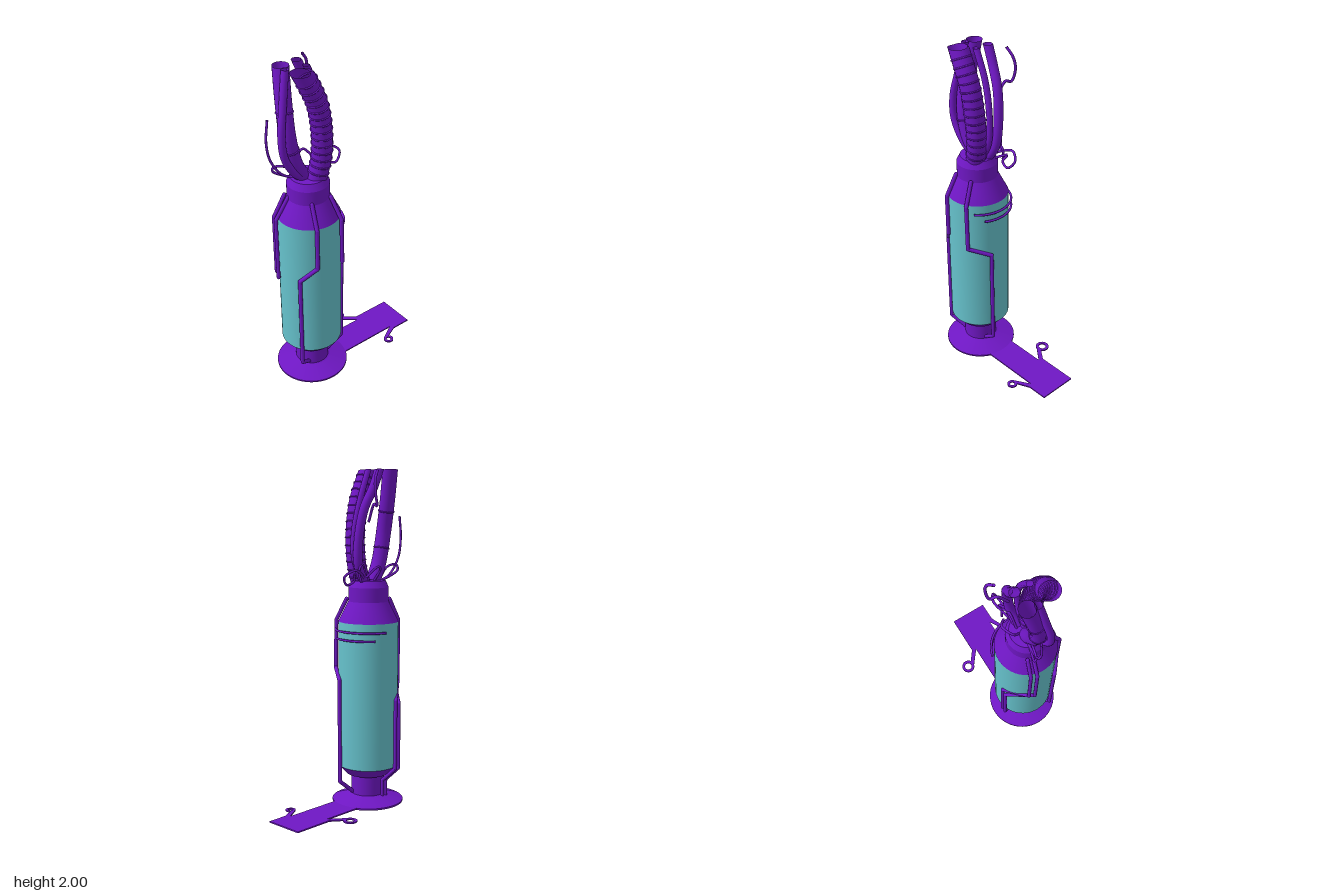
import * as THREE from 'three';

const AX = -0.24, AZ = 0.012; // tank axis
const V = (x, y, z) => new THREE.Vector3(x, y, z);

export function createModel() {
  const root = new THREE.Group();
  const purple = new THREE.MeshStandardMaterial({ color: 0x6f17c4, side: THREE.DoubleSide });
  const teal = new THREE.MeshStandardMaterial({ color: 0x66c2cc, side: THREE.DoubleSide });

  const add = (name, geometry, material = purple, parent = root) => {
    const mesh = new THREE.Mesh(geometry, material);
    mesh.name = name;
    parent.add(mesh);
    return mesh;
  };

  // Each conical band is its own lathe, so the edges between bands stay crisp
  const bands = (name, profile, material) => {
    const group = new THREE.Group();
    group.name = name;
    group.position.set(AX, 0, AZ);
    for (let i = 0; i < profile.length - 1; i++) {
      const pts = [profile[i], profile[i + 1]].map(p => new THREE.Vector2(p[0], p[1]));
      add(name + 'Band', new THREE.LatheGeometry(pts, 48), material, group);
    }
    root.add(group);
  };

  // Tank body
  bands('pedestal', [[0, 0], [0.216, 0], [0.216, 0.01], [0.11, 0.045], [0.1, 0.05],
    [0.1, 0.17], [0.13, 0.175], [0.18, 0.23]], purple);
  bands('glassCylinder', [[0.18, 0.23], [0.18, 1.11]], teal);
  bands('shoulderAndCollar', [[0.18, 1.11], [0.12, 1.23], [0.12, 1.315], [0.1, 1.355], [0, 1.355]], purple);

  // Flat floor plate with a stepped, wider end
  const flat = (name, pts, hole) => {
    const shape = new THREE.Shape(pts.map(p => new THREE.Vector2(p[0], -p[1])));
    if (hole) shape.holes.push(new THREE.Path().absarc(hole[0], -hole[1], hole[2], 0, Math.PI * 2, true));
    const g = new THREE.ExtrudeGeometry(shape, { depth: 0.008, bevelEnabled: false, curveSegments: 24 });
    add(name, g.rotateX(-Math.PI / 2).translate(0, 0.003, 0));
  };
  flat('floorPlate', [[-0.24, -0.08], [0.215, -0.08], [0.215, -0.107], [0.46, -0.107],
    [0.46, 0.13], [0.34, 0.13], [0.34, 0.105], [-0.24, 0.105]]);

  // Ring tabs beside the plate
  const ringTab = (cx, cz, outer, inner, arm) => {
    const circle = Array.from({ length: 32 }, (_, i) => {
      const a = i / 32 * Math.PI * 2;
      return [cx + outer * Math.cos(a), cz + outer * Math.sin(a)];
    });
    flat('ringTab', circle, [cx, cz, inner]);
    flat('ringTabArm', arm);
  };
  ringTab(0.127, -0.19, 0.041, 0.023, [[0.112, -0.154], [0.145, -0.16], [0.215, -0.107], [0.215, -0.08], [0.205, -0.08]]);
  ringTab(0.243, 0.188, 0.03, 0.015, [[0.225, 0.164], [0.25, 0.172], [0.34, 0.13], [0.34, 0.105], [0.325, 0.105]]);

  // Bent outside pipes: straight runs with ball joints
  const pipe = (name, pts, r) => {
    const group = new THREE.Group();
    group.name = name;
    pts.forEach((p, i) => {
      const a = V(...p);
      add('pipeJoint', new THREE.SphereGeometry(r, 12, 8), purple, group).position.copy(a);
      if (i === pts.length - 1) return;
      const b = V(...pts[i + 1]);
      const run = add('pipeRun', new THREE.CylinderGeometry(r, r, a.distanceTo(b), 12), purple, group);
      run.position.copy(a).lerp(b, 0.5);
      run.quaternion.setFromUnitVectors(V(0, 1, 0), b.sub(a).normalize());
    });
    root.add(group);
  };
  pipe('frontRightPipe', [[-0.3, 1.24, 0.125], [-0.315, 1.11, 0.187], [-0.315, 0.85, 0.187],
    [-0.395, 0.76, 0.125], [-0.395, 0.14, 0.125], [-0.31, 0.065, 0.075]], 0.012);
  pipe('frontLeftPipe', [[-0.17, 1.24, 0.125], [-0.145, 1.11, 0.187], [-0.14, 0.82, 0.187],
    [-0.056, 0.765, 0.075], [-0.056, 0.14, 0.07], [-0.145, 0.065, 0.05]], 0.012);
  for (const s of [0, 1]) {
    pipe('backPipe', [[-0.355, 1.24, -0.02 - s * 0.035], [-0.432 + s * 0.012, 1.11, -0.035 - s * 0.035],
      [-0.432 + s * 0.012, 0.71 + s * 0.02, -0.035 - s * 0.035], [-0.315 + s * 0.03, 0.62 + s * 0.02, -0.17],
      [-0.315 + s * 0.03, 0.22, -0.17], [-0.285 + s * 0.03, 0.14, -0.095], [-0.285 + s * 0.03, 0.04, -0.095]], 0.011);
  }

  // Thin bands floating on the glass, facing +x
  const arc = (y, r, from, to) => {
    const pts = Array.from({ length: 16 }, (_, i) => {
      const a = from + (to - from) * i / 15;
      return V(AX + r * Math.cos(a), y, AZ + r * Math.sin(a));
    });
    add('glassBand', new THREE.TubeGeometry(new THREE.CatmullRomCurve3(pts), 40, 0.007, 8));
  };
  arc(1.06, 0.196, 0.85, -1.3);
  arc(1.012, 0.196, 0.53, -0.95);

  // Curved hoses, trimmed level at the top
  const hose = (name, pts, r, ribs = 0) => {
    const curve = new THREE.CatmullRomCurve3(pts.map(p => V(...p)));
    const g = new THREE.TubeGeometry(curve, 48, r, r > 0.02 ? 20 : 10);
    const pos = g.attributes.position;
    for (let i = 0; i < pos.count; i++) pos.setY(i, Math.min(pos.getY(i), 2));
    add(name, g);
    for (let i = 1; i <= ribs; i++) {
      const t = i / (ribs + 1) * 0.95;
      const rib = add(name + 'Rib', new THREE.TorusGeometry(r, 0.005, 6, 24));
      rib.position.copy(curve.getPointAt(t));
      rib.quaternion.setFromUnitVectors(V(0, 0, 1), curve.getTangentAt(t));
    }
  };
  hose('ribbedHose', [[-0.21, 1.34, 0.05], [-0.185, 1.46, 0.06], [-0.185, 1.62, 0.07],
    [-0.215, 1.8, 0.075], [-0.27, 1.93, 0.075], [-0.315, 2.02, 0.07]], 0.057, 14);
  hose('wideHose', [[-0.26, 1.34, 0], [-0.32, 1.45, 0.005], [-0.355, 1.62, 0],
    [-0.35, 1.82, -0.035], [-0.335, 2.01, -0.07]], 0.045, 2);
  hose('leftHose', [[-0.18, 1.34, -0.01], [-0.12, 1.44, -0.02], [-0.105, 1.58, -0.03],
    [-0.13, 1.77, -0.05], [-0.19, 1.9, -0.07], [-0.235, 2.01, -0.075]], 0.027);
  hose('middleHose', [[-0.2, 1.34, 0.01], [-0.13, 1.47, 0.02], [-0.12, 1.62, 0.02],
    [-0.16, 1.82, 0.01], [-0.235, 2.01, 0.01]], 0.018);
  hose('rightHose', [[-0.26, 1.34, 0.02], [-0.34, 1.41, 0.03], [-0.405, 1.53, 0.035], [-0.415, 1.66, 0.03],
    [-0.385, 1.82, 0.01], [-0.345, 2.01, -0.015]], 0.021);

  // Loose wires
  hose('leftCurlWire', [[-0.18, 1.35, -0.02], [-0.11, 1.4, -0.05], [-0.03, 1.425, -0.07], [0.02, 1.39, -0.04],
    [-0.02, 1.34, -0.02], [-0.07, 1.36, -0.03], [-0.05, 1.4, -0.05], [-0.11, 1.375, -0.01]], 0.007);
  hose('leftArchWire', [[-0.2, 1.35, -0.03], [-0.14, 1.46, -0.04], [-0.09, 1.42, -0.05], [-0.1, 1.35, -0.06]], 0.007);
  hose('rightArchWire', [[-0.3, 1.34, -0.01], [-0.36, 1.43, -0.03], [-0.42, 1.44, -0.05], [-0.42, 1.41, -0.06], [-0.36, 1.37, -0.04],
    [-0.31, 1.35, -0.02]], 0.007);
  hose('rightLongWire', [[-0.28, 1.34, -0.02], [-0.37, 1.38, -0.035], [-0.435, 1.48, -0.05],
    [-0.458, 1.6, -0.05], [-0.445, 1.73, -0.05]], 0.007);
  hose('backLongWire', [[-0.16, 1.7, -0.06], [-0.14, 1.8, -0.12], [-0.13, 1.79, -0.15],
    [-0.105, 1.87, -0.16], [-0.115, 1.94, -0.15], [-0.15, 1.99, -0.135]], 0.008);
  hose('backLowWire', [[-0.23, 1.34, -0.03], [-0.24, 1.42, -0.08], [-0.18, 1.44, -0.11], [-0.13, 1.38, -0.07]], 0.007);

  return root;
}
